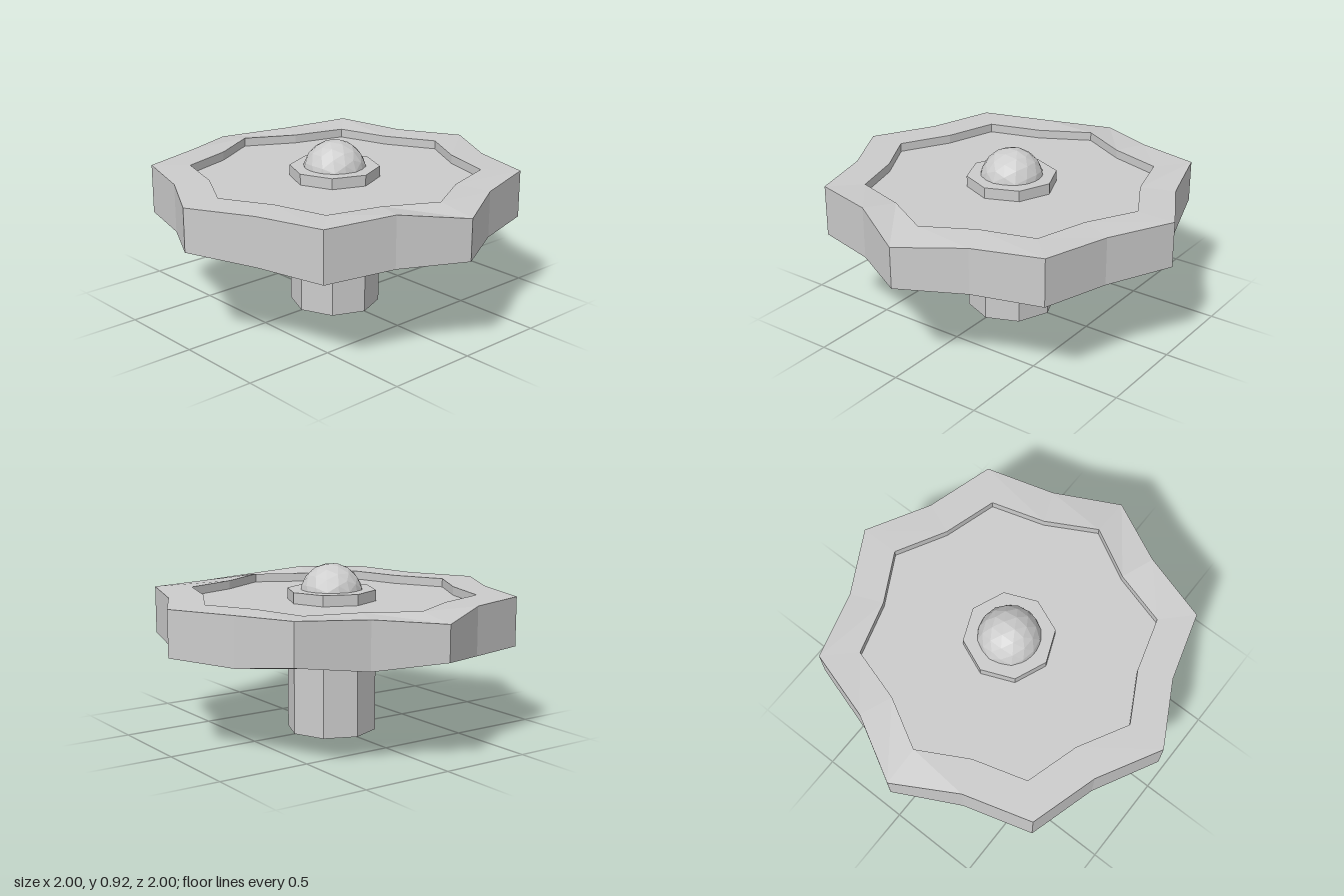
import * as THREE from 'three';

const material = new THREE.MeshStandardMaterial({ color: 0xcccccc, flatShading: true });
const SIDES = 16;

// Uneven heights of the outer rim corners, starting at +x and turning towards +z
const TOP = [0.765, 0.76, 0.765, 0.755, 0.735, 0.785, 0.77, 0.765,
  0.765, 0.765, 0.765, 0.765, 0.735, 0.765, 0.78, 0.765];
const BOTTOM = [0.515, 0.5, 0.505, 0.505, 0.51, 0.505, 0.49, 0.5,
  0.53, 0.505, 0.495, 0.505, 0.545, 0.51, 0.555, 0.5];

// A 16-cornered star ring: points at radius `tip`, notches at 0.88 of it
function starRing(tip, height) {
  return Array.from({ length: SIDES }, (_, i) => {
    const angle = (i / SIDES) * Math.PI * 2;
    const r = tip * (i % 2 ? 0.883 : 1);
    const y = Array.isArray(height) ? height[i] : height;
    return [Math.cos(angle) * r, y, Math.sin(angle) * r];
  });
}

// Joins successive rings with flat faces
function loft(rings) {
  const positions = rings.flat(2);
  const index = [];
  for (let r = 0; r < rings.length - 1; r++) {
    for (let i = 0; i < SIDES; i++) {
      const j = (i + 1) % SIDES;
      const a = r * SIDES + i, b = r * SIDES + j;
      const c = a + SIDES, d = b + SIDES;
      index.push(a, b, c, b, d, c);
    }
  }
  const indexed = new THREE.BufferGeometry();
  indexed.setAttribute('position', new THREE.Float32BufferAttribute(positions, 3));
  indexed.setIndex(index);
  const geometry = indexed.toNonIndexed();
  geometry.computeVertexNormals();
  return geometry;
}

export function createModel() {
  const model = new THREE.Group();
  const add = (name, geometry, y = 0) => {
    const mesh = new THREE.Mesh(geometry, material);
    mesh.name = name;
    mesh.position.y = y;
    model.add(mesh);
  };

  // Raised star-shaped rim with inner walls above and below the panel
  const inner = 0.787;
  add('rim', loft([
    starRing(inner, 0.72), starRing(inner, 0.768),
    starRing(1, TOP), starRing(1, BOTTOM),
    starRing(inner, 0.505), starRing(inner, 0.55),
  ]));

  // Recessed panel, closed on both faces
  add('upperPanel', loft([starRing(0.02, 0.72), starRing(inner, 0.72)]));
  add('lowerPanel', loft([starRing(inner, 0.55), starRing(0.02, 0.55)]));

  // Octagonal shaft passing through the panel
  add('shaft', new THREE.CylinderGeometry(0.245, 0.245, 0.78, 8), 0.39);

  // Faceted knob set into the top of the shaft
  add('knob', new THREE.IcosahedronGeometry(0.173, 2), 0.748);

  return model;
}
